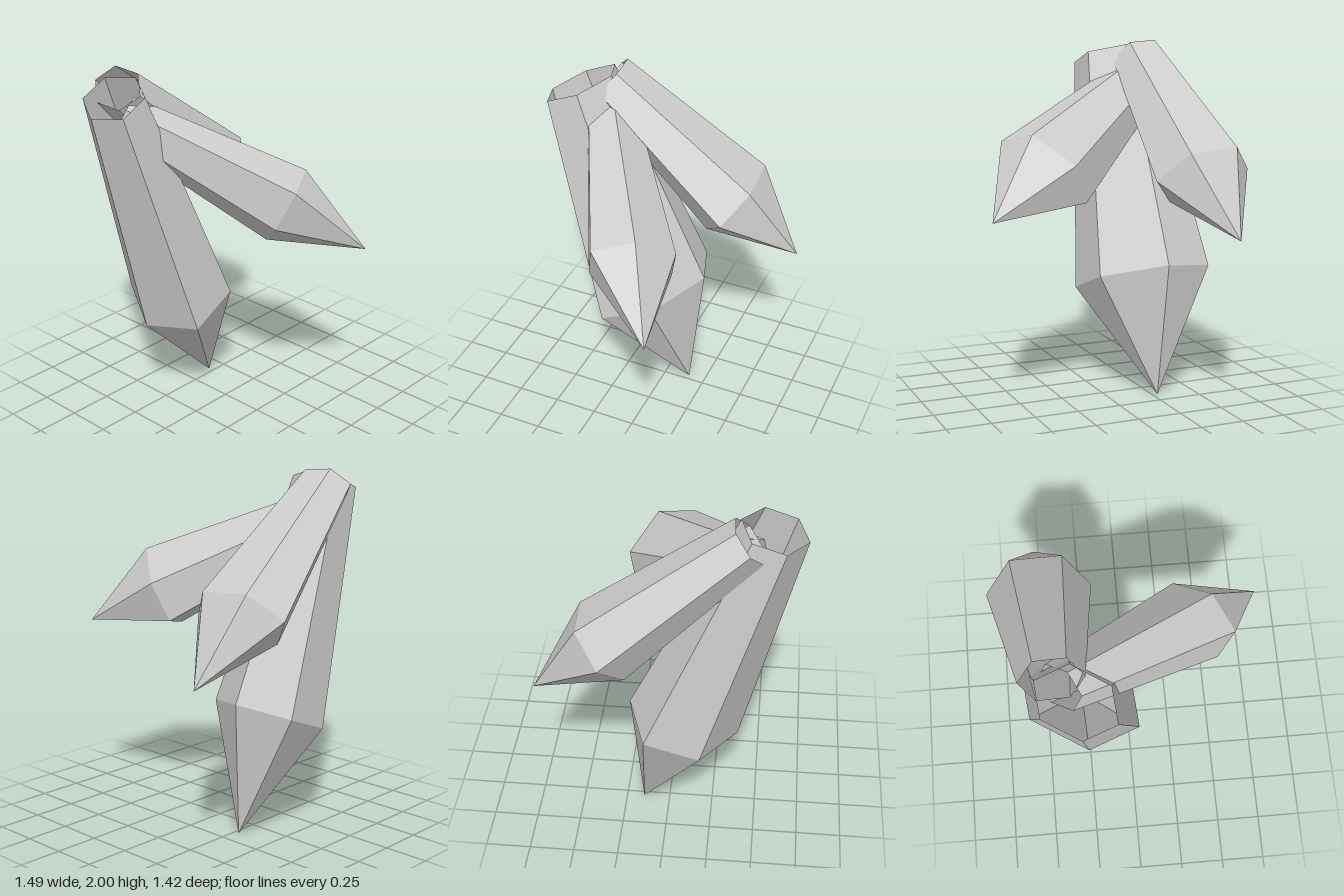
import * as THREE from 'three';

const material = new THREE.MeshStandardMaterial({
  color: 0xcccccc, flatShading: true, side: THREE.DoubleSide,
});

const TOP_SCALE = 0.576; // open end is narrower than the shoulder

// Six-sided crystal: open end -> wider shoulder -> pointed tip.
// u and w are two alternate corners of the shoulder, relative to its centre.
function crystal(name, { open, shoulder, tip, u, w }) {
  const U = new THREE.Vector3(...u), W = new THREE.Vector3(...w);
  const half = [U, U.clone().add(W), W];
  const corners = [...half, ...half.map((c) => c.clone().negate())];
  const ring = (centre, scale) =>
    corners.map((c) => new THREE.Vector3(...centre).addScaledVector(c, scale));

  const points = [...ring(open, TOP_SCALE), ...ring(shoulder, 1), new THREE.Vector3(...tip)];
  const index = [];
  for (let i = 0; i < 6; i++) {
    const j = (i + 1) % 6;
    index.push(i, j, 6 + j, i, 6 + j, 6 + i); // side panel
    index.push(6 + i, 6 + j, 12); // tip facet
  }
  const indexed = new THREE.BufferGeometry().setFromPoints(points);
  indexed.setIndex(index);
  const geometry = indexed.toNonIndexed();
  geometry.computeVertexNormals();

  const mesh = new THREE.Mesh(geometry, material);
  mesh.name = name;
  return mesh;
}

export function createModel() {
  const model = new THREE.Group();
  model.name = 'crystalCluster';
  model.add(
    // Large crystal hanging at the front
    crystal('mainCrystal', {
      open: [-0.29, 1.905, 0.535], shoulder: [-0.285, 0.645, 0.085], tip: [-0.28, 0, -0.15],
      u: [0.335, -0.075, 0.195], w: [-0.305, -0.045, 0.105],
    }),
    // Smaller crystal reaching out to the left
    crystal('leftCrystal', {
      open: [-0.37, 1.74, 0.396], shoulder: [0.375, 1.31, -0.073], tip: [0.745, 1.09, -0.305],
      u: [0.085, 0.21, -0.057], w: [0.105, -0.05, 0.203],
    }),
    // Smaller crystal reaching to the back
    crystal('backCrystal', {
      open: [-0.4, 1.907, 0.41], shoulder: [-0.457, 1.283, -0.335], tip: [-0.49, 0.975, -0.71],
      u: [-0.287, 0.02, 0.015], w: [0.142, 0.138, -0.13],
    }),
  );
  return model;
}
